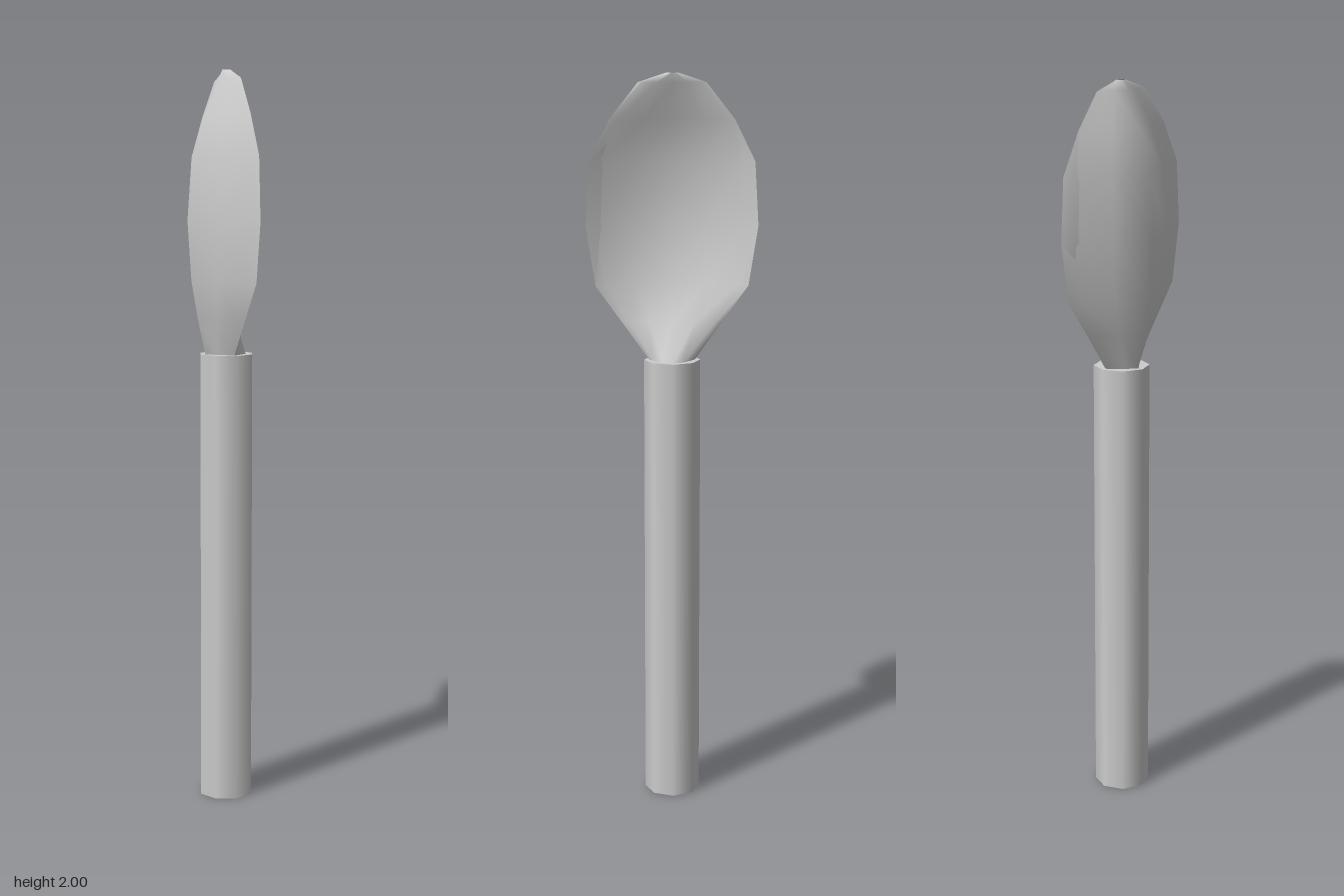
import * as THREE from 'three';

// Stations up the bowl: [height, half width, rim x, inner centre x, outer centre x]
const stations = [
  [1.24, 0.062, 0.015, 0.074, -0.045],
  [1.34, 0.133, 0.015, 0.02, -0.067],
  [1.44, 0.205, 0.015, -0.025, -0.085],
  [1.6, 0.23, 0.015, -0.055, -0.096],
  [1.77, 0.22, 0.015, -0.045, -0.083],
  [1.88, 0.165, 0.015, -0.01, -0.045],
  [1.975, 0.09, 0.02, 0.027, -0.005],
  [2.0, 0.015, 0.02, 0.034, 0.005],
];

// Lofts one skin of the bowl; profile lists [position across, share of depth]
function bowlSkin(name, centreColumn, profile, flip) {
  const positions = [], index = [], n = profile.length;
  for (const s of stations) {
    for (const [t, depth] of profile) {
      positions.push(s[2] + (s[centreColumn] - s[2]) * depth, s[0], s[1] * t);
    }
  }
  for (let i = 0; i < stations.length - 1; i++) {
    for (let j = 0; j < n - 1; j++) {
      const a = i * n + j, b = a + n, c = a + 1, d = b + 1;
      if (flip) index.push(a, c, b, c, d, b);
      else index.push(a, b, c, c, b, d);
    }
  }
  const geometry = new THREE.BufferGeometry();
  geometry.setAttribute('position', new THREE.Float32BufferAttribute(positions, 3));
  geometry.setIndex(index);
  geometry.computeVertexNormals();
  const mesh = new THREE.Mesh(geometry, new THREE.MeshStandardMaterial({ color: 0xcccccc, side: THREE.DoubleSide }));
  mesh.name = name;
  return mesh;
}

// Mirrors half a profile across the middle
const mirrored = (half) => [...half.map(([t, d]) => [-t, d]), [0, 1], ...half.slice().reverse()];

export function createModel() {
  const group = new THREE.Group();
  group.name = 'spoon';

  // Eight-sided handle
  const handle = new THREE.Mesh(
    new THREE.CylinderGeometry(0.076, 0.076, 1.24, 8),
    new THREE.MeshStandardMaterial({ color: 0xcccccc })
  );
  handle.name = 'handle';
  handle.position.set(0.017, 0.62, 0);
  group.add(handle);

  // Hollow inside and keeled outside of the bowl, meeting at a sharp rim
  group.add(bowlSkin('bowlInside', 3, mirrored([[1, 0], [0.87, 0.25], [0.45, 0.8]]), false));
  group.add(bowlSkin('bowlOutside', 4, mirrored([[1, 0], [0.8, 0.22], [0.45, 0.6]]), true));
  return group;
}
